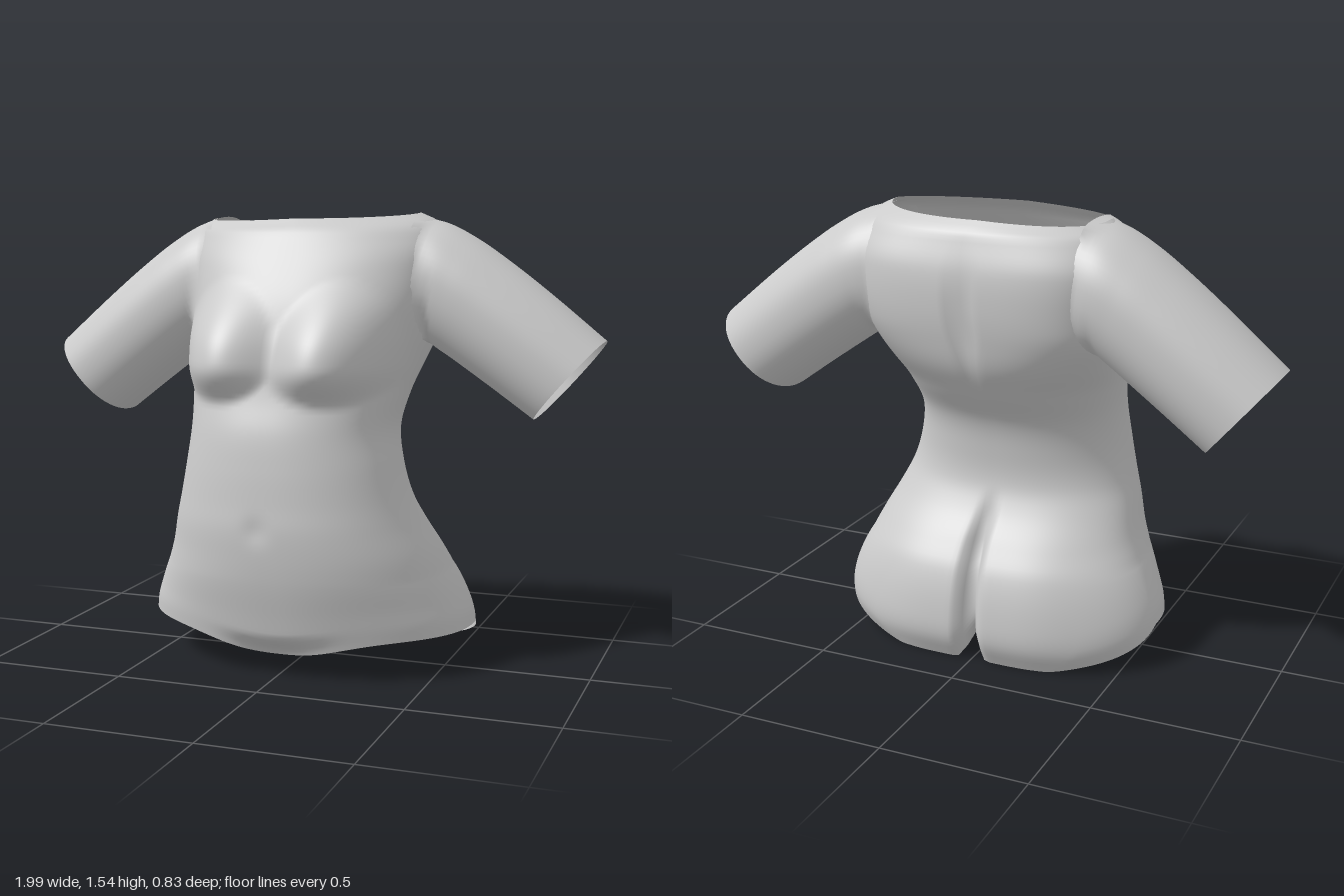
import * as THREE from 'three';

const material = new THREE.MeshStandardMaterial({ color: 0xcccccc, side: THREE.DoubleSide });
const { lerp, smoothstep } = THREE.MathUtils;
const bell = (d, width) => Math.exp(-((d / width) ** 2));
const spow = (v, p) => Math.sign(v) * Math.abs(v) ** p;

// Smoothly interpolates a table whose first column is the parameter.
function smoothTable(rows) {
  const curve = new THREE.CubicInterpolant(rows.map(r => r[0]), rows.flatMap(r => r.slice(1)), rows[0].length - 1);
  return t => Array.from(curve.evaluate(t));
}

// Skins closed rings; skip() may leave out faces by their centre.
function loft(name, rows, cols, point, flip = false, skip = () => false) {
  const pts = [], index = [];
  for (let r = 0; r <= rows; r++)
    for (let c = 0; c < cols; c++) pts.push(point(r / rows, (c / cols) * Math.PI * 2));
  for (let r = 0; r < rows; r++)
    for (let c = 0; c < cols; c++) {
      const a = r * cols + c, d = r * cols + ((c + 1) % cols), b = a + cols, e = d + cols;
      if (skip(pts[a].clone().add(pts[e]).multiplyScalar(0.5))) continue;
      if (flip) index.push(a, d, b, b, d, e);
      else index.push(a, b, d, b, e, d);
    }
  const geometry = new THREE.BufferGeometry().setFromPoints(pts);
  geometry.setIndex(index);
  geometry.computeVertexNormals();
  const mesh = new THREE.Mesh(geometry, material);
  mesh.name = name;
  return mesh;
}

// Torso: height, half width, front z, back z, z of widest point, x centre
const torsoAt = smoothTable([
  [0.05, 0.583, 0.335, -0.345, -0.08, 0],
  [0.12, 0.575, 0.35, -0.385, -0.08, 0],
  [0.2, 0.556, 0.367, -0.39, -0.08, 0],
  [0.33, 0.513, 0.395, -0.36, -0.05, 0],
  [0.42, 0.475, 0.408, -0.305, -0.01, 0],
  [0.52, 0.435, 0.414, -0.235, 0.03, -0.01],
  [0.6, 0.405, 0.408, -0.2, 0.06, -0.015],
  [0.72, 0.375, 0.398, -0.2, 0.07, -0.02],
  [0.84, 0.36, 0.38, -0.23, 0.04, -0.025],
  [0.95, 0.375, 0.345, -0.31, 0, -0.02],
  [1.05, 0.4, 0.32, -0.375, -0.06, -0.015],
  [1.15, 0.425, 0.295, -0.405, -0.11, -0.01],
  [1.26, 0.44, 0.255, -0.42, -0.14, 0],
  [1.38, 0.45, 0.19, -0.415, -0.15, 0],
  [1.46, 0.45, 0.14, -0.39, -0.15, 0],
  [1.53, 0.42, 0.095, -0.36, -0.15, -0.01],
  [1.555, 0.38, 0.07, -0.335, -0.15, -0.025],
]);

// Squareness of the section: broad flat shoulder blades, rounder neck edge
function roundness(y, face) {
  const chest = lerp(0.9, face > 0 ? 0.86 : 0.64, smoothstep(y, 0.95, 1.2));
  return lerp(chest, face > 0 ? 1 : 0.9, smoothstep(y, 1.38, 1.54));
}

// Lower edge: high at the hips, lower at the crotch and under the seat
function hemHeight(x, z) {
  if (z > -0.1) return 0.15 - (z > 0 ? 0.075 * bell(x, 0.25) : 0);
  return 0.15 - 0.14 * Math.min(1, (-z - 0.1) / 0.23) + 0.06 * bell(x, 0.03);
}

function torsoPoint(v, a) {
  let y = 0.05 + 1.505 * v;
  const [w, front, back, zc, cx] = torsoAt(y);
  const s = Math.sin(a), c = Math.cos(a), p = roundness(y, s), lower = smoothstep(0.6 - y, 0, 0.25);
  const x = w * spow(c, p);
  let z = zc + (s > 0 ? front - zc : zc - back) * spow(s, p);
  if (s > 0) {
    // breasts with a fold below, the navel and the crotch curl
    const up = (y - 1.06) / (y < 1.06 ? 0.14 : 0.28);
    const across = (Math.abs(x + 0.01) - 0.2) / 0.215;
    z += 0.11 * Math.max(0, 1 - up * up - across * across) ** 1.6;
    z -= 0.008 * bell(x + 0.03, 0.04) * bell(y - 0.52, 0.04);
    z -= 0.06 * bell(x, 0.14) * smoothstep(0.14 - y, 0, 0.09);
  } else {
    // cleft of the seat and hollow of the spine
    z -= s * bell(x, 0.025) * (0.08 * lower + 0.025 * bell(y - 1.2, 0.16));
    z -= 0.01 * lower * bell(Math.abs(x) - 0.24, 0.14);
  }
  if (y < 0.35) y = 0.35 - ((0.35 - y) / 0.3) * (0.35 - hemHeight(x, z));
  // neck edge dips toward the front, the back and the right shoulder
  y -= (0.02 * Math.abs(s) + 0.02 * Math.max(0, -c)) * smoothstep(v, 0.95, 1);
  return new THREE.Vector3(x + cx, y, z);
}

// Depth of the plain torso surface at x, y, in front (+1) or behind (-1)
function torsoDepth(x, y, face) {
  const [w, front, back, zc, cx] = torsoAt(Math.min(y, 1.555));
  const p = roundness(y, face), c = Math.min(1, Math.abs(x - cx) / w) ** (1 / p);
  return zc + ((face > 0 ? front : back) - zc) * Math.sqrt(1 - c * c) ** p;
}

const smoothMax = (a, b, k) => Math.max(a, b) + Math.max(k - Math.abs(a - b), 0) ** 2 / (4 * k);

// Upper arm: top x, top y, bottom x, bottom y, half depth
const armAt = smoothTable([
  [0, 0.365, 1.54, 0.32, 1.13, 0.2],
  [0.12, 0.45, 1.518, 0.38, 1.12, 0.212],
  [0.28, 0.55, 1.467, 0.435, 1.087, 0.214],
  [0.46, 0.66, 1.393, 0.51, 1.037, 0.212],
  [0.72, 0.81, 1.28, 0.63, 0.955, 0.208],
  [1, 0.995, 1.13, 0.765, 0.86, 0.202],
]);

// The arm's root swells to meet the chest and the shoulder blade.
function armPoint(side) {
  return (v, a) => {
    const [tx, ty, bx, by, depth] = armAt(v);
    const k = (1 + spow(Math.cos(a), 0.92)) / 2, s = Math.sin(a), face = Math.sign(s);
    const x = side * lerp(bx, tx, k);
    const y = lerp(by, ty, k) - (side < 0 ? 0.03 * v : 0);
    const own = depth * Math.abs(s) ** 0.92;
    const body = face * (torsoDepth(x, y, face) + 0.16) - 0.004;
    const blend = 0.08 * smoothstep(v, 0, 0.15) * Math.abs(s) + 0.001;
    const half = lerp(own, smoothMax(own, body, blend), smoothstep(0.42 - v, 0, 0.25) * smoothstep(Math.abs(s), 0, 0.5));
    return new THREE.Vector3(x, y, -0.16 + face * half);
  };
}

export function createModel() {
  const group = new THREE.Group();
  group.name = 'torso';
  // The body is open where the arms join it
  const insideArm = p => Math.abs(p.x) > 0.385 && ((p.y - 1.325) / 0.17) ** 2 + ((p.z + 0.16) / 0.16) ** 2 < 1;
  group.add(loft('body', 90, 200, torsoPoint, false, insideArm));
  for (const side of [1, -1])
    group.add(loft(side > 0 ? 'leftArm' : 'rightArm', 36, 56, armPoint(side), side > 0));
  return group;
}
